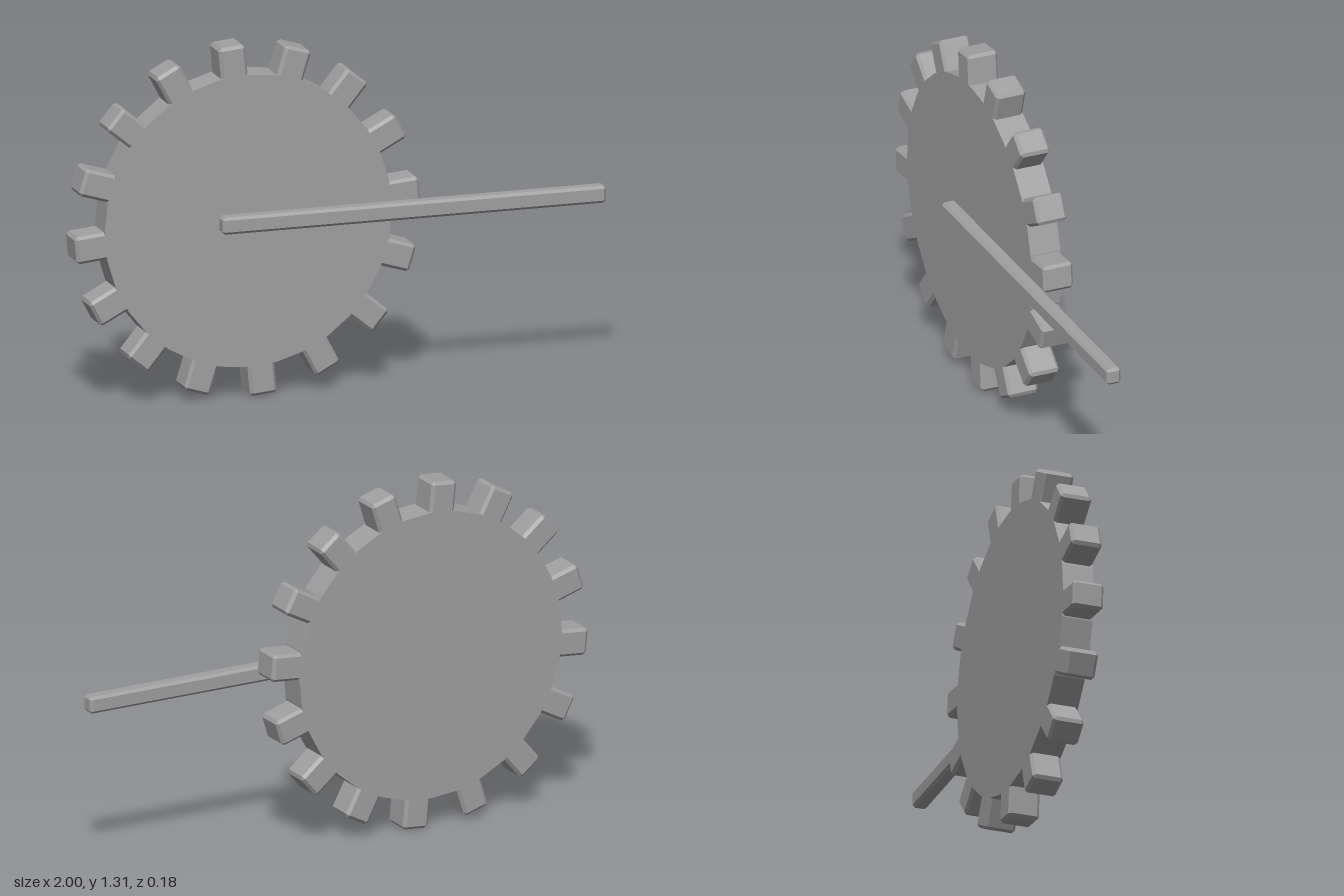
import * as THREE from 'three';
import { ConvexGeometry } from 'three/addons/geometries/ConvexGeometry.js';

// Box with every edge and corner cut at 45 degrees
function chamferedBox(w, h, d, c) {
  const points = [];
  const [x, y, z] = [w / 2, h / 2, d / 2];
  for (const sx of [-1, 1]) for (const sy of [-1, 1]) for (const sz of [-1, 1]) {
    points.push(
      new THREE.Vector3(sx * x, sy * (y - c), sz * (z - c)),
      new THREE.Vector3(sx * (x - c), sy * y, sz * (z - c)),
      new THREE.Vector3(sx * (x - c), sy * (y - c), sz * z)
    );
  }
  return new ConvexGeometry(points);
}

export function createModel() {
  const model = new THREE.Group();
  model.name = 'gearWithRod';
  const grey = new THREE.MeshStandardMaterial({ color: 0xa0a0a0, flatShading: true });
  grey.name = 'plain grey';

  const add = (parent, name, geometry) => {
    const mesh = new THREE.Mesh(geometry, grey);
    mesh.name = name;
    parent.add(mesh);
    return mesh;
  };

  // Gear: a 32-sided disc with its axis along z
  const gear = new THREE.Group();
  gear.name = 'gear';
  gear.position.set(-0.343, 0.66, -0.029);
  model.add(gear);
  const thickness = 0.118;
  const disc = new THREE.CylinderGeometry(0.545, 0.545, thickness, 32);
  disc.rotateX(Math.PI / 2);
  add(gear, 'gearDisc', disc);

  // Sixteen chamfered teeth, their roots sunk into the disc
  const teeth = 16, root = 0.51, tip = 0.656;
  const toothShape = chamferedBox(tip - root, 0.102, thickness, 0.011);
  toothShape.translate((root + tip) / 2, 0, 0);
  for (let i = 0; i < teeth; i++) {
    const tooth = add(gear, 'gearTooth', toothShape);
    tooth.rotation.z = THREE.MathUtils.degToRad(5.3) + (i * Math.PI * 2) / teeth;
  }

  // Long square rod in front of the gear, starting near its centre
  const rod = add(model, 'rod', chamferedBox(1.456, 0.064, 0.056, 0.01));
  rod.position.set(0.27, 0.662, 0.063);

  return model;
}
